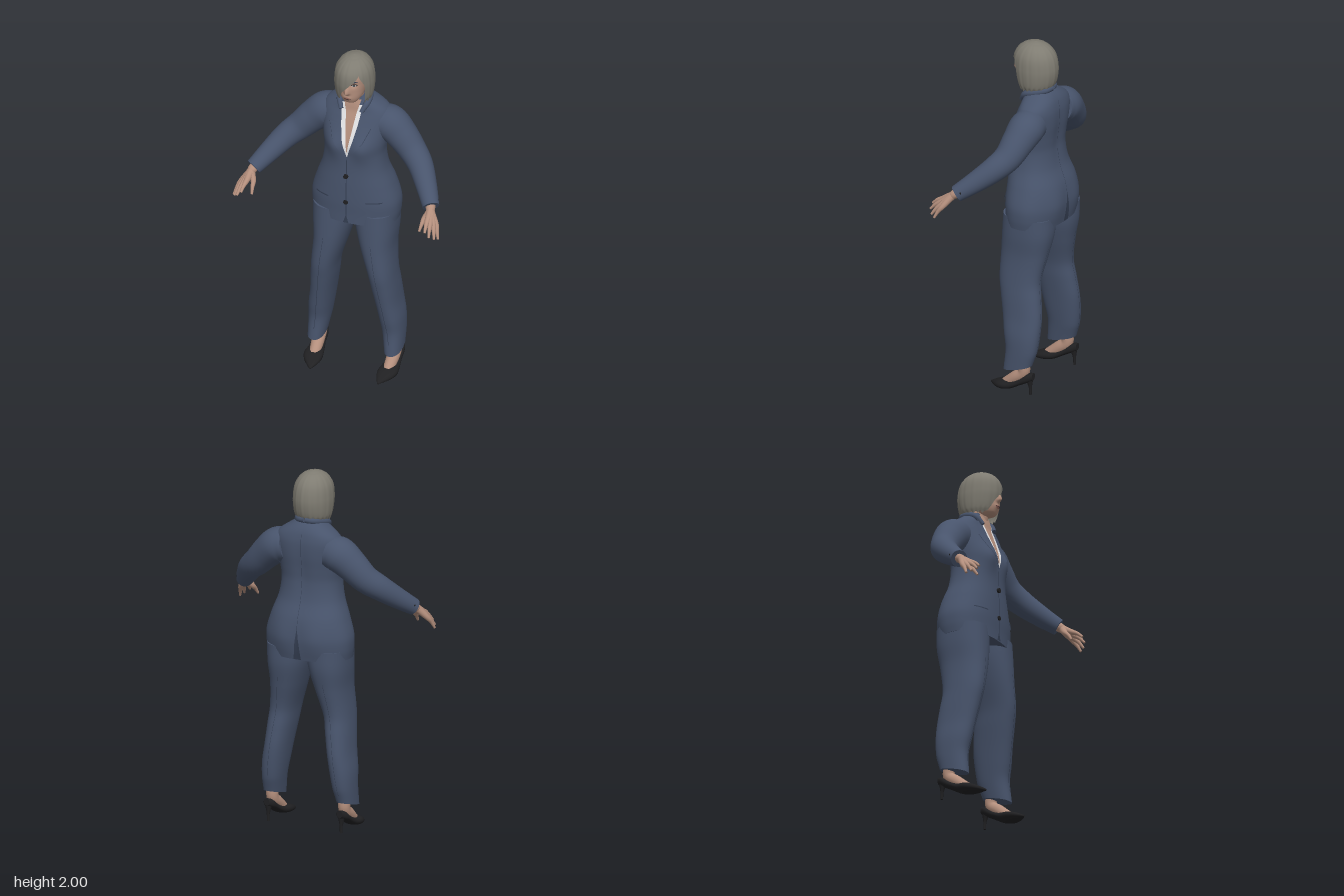
import * as THREE from 'three';

const V = (x, y, z) => new THREE.Vector3(x, y, z);
const mat = (name, color, side = THREE.FrontSide) => {
  const m = new THREE.MeshStandardMaterial({ color, side });
  m.name = name;
  return m;
};

// Value of a table at a key (first column), smooth or linear
function sample(rows, k, smooth = true) {
  const n = rows.length;
  let i = 0;
  while (i < n - 2 && k > rows[i + 1][0]) i++;
  const a = rows[i], b = rows[i + 1], h = b[0] - a[0], t = (k - a[0]) / h;
  const slope = (j, c) => {
    const p = rows[Math.max(j - 1, 0)], q = rows[Math.min(j + 1, n - 1)];
    return (q[c] - p[c]) / (q[0] - p[0]);
  };
  return a.map((v, c) => {
    if (!smooth) return v + (b[c] - v) * t;
    const t2 = t * t, t3 = t2 * t;
    return v * (2 * t3 - 3 * t2 + 1) + b[c] * (3 * t2 - 2 * t3)
      + h * (slope(i, c) * (t3 - 2 * t2 + t) + slope(i + 1, c) * (t3 - t2));
  });
}

// Skin over rings of points; closed rings get end caps
function loft(rings, closed = true) {
  const pos = [], idx = [], m = rings[0].length, n = rings.length;
  rings.forEach(r => r.forEach(p => pos.push(p.x, p.y, p.z)));
  for (let i = 0; i < n - 1; i++) {
    for (let j = 0; j < (closed ? m : m - 1); j++) {
      const k = (j + 1) % m, a = i * m + j, b = a + m, c = (i + 1) * m + k, d = i * m + k;
      idx.push(a, b, c, a, c, d);
    }
  }
  if (closed) [0, n - 1].forEach(e => {
    const s = pos.length / 3, mid = V(0, 0, 0);
    rings[e].forEach(p => { pos.push(p.x, p.y, p.z); mid.addScaledVector(p, 1 / m); });
    pos.push(mid.x, mid.y, mid.z);
    for (let j = 0; j < m; j++) {
      const k = (j + 1) % m;
      idx.push(s + m, ...(e ? [s + k, s + j] : [s + j, s + k]));
    }
  });
  const g = new THREE.BufferGeometry();
  g.setAttribute('position', new THREE.Float32BufferAttribute(pos, 3));
  g.setIndex(idx);
  g.computeVertexNormals();
  return g;
}

// Upright form from rows of [y, centre x, half width, front z, back z]
const POW = 2.3;
const sup = v => Math.sign(v) * Math.abs(v) ** (2 / POW);
function formPoint(form, y, row, u, s) {
  const [, cx, hw, zf, zb] = row, x = cx + hw * u, side = Math.sign(s) || 1;
  const bump = form.bump ? form.bump(x, y, side) : 0;
  const z = (zf + zb) / 2 + s * ((zf - zb) / 2 + bump);
  return V(x, y - (form.tilt ? form.tilt(y) * (z + 0.08) : 0), z);
}
function formGeo(form, steps, seg) {
  const { rows } = form, y0 = rows[0][0], y1 = rows[rows.length - 1][0], rings = [];
  for (let i = 0; i <= steps; i++) {
    const y = y0 + (y1 - y0) * i / steps, row = sample(rows, y);
    rings.push(Array.from({ length: seg }, (_, j) => {
      const a = j / seg * Math.PI * 2;
      return formPoint(form, y, row, sup(Math.cos(a)), sup(Math.sin(a)));
    }));
  }
  return loft(rings);
}

// Thin plate lying on a form, from rows of [y, x from, x to]
function patch(form, rows, off, side = 1, steps = 30, cols = 8) {
  const y0 = rows[0][0], y1 = rows[rows.length - 1][0], rings = [];
  for (let i = 0; i <= steps; i++) {
    const y = y0 + (y1 - y0) * i / steps, [, xa, xb] = sample(rows, y, false), row = sample(form.rows, y);
    rings.push(Array.from({ length: cols + 1 }, (_, j) => {
      const t = side > 0 ? 1 - j / cols : j / cols, u = (xa + (xb - xa) * t - row[1]) / row[2];
      const s = Math.max(0, 1 - Math.abs(u) ** POW) ** (1 / POW);
      const p = formPoint(form, y, row, u, side * s);
      p.z += side * off;
      return p;
    }));
  }
  return loft(rings, false);
}

// Tube through points of [x, y, z, radius]
function limb(points, seg = 16, ref = V(1, 0, 0), per = 6) {
  const rows = points.map((p, i) => [i, ...p]), rings = [], last = points.length - 1;
  const at = k => sample(rows, k);
  for (let i = 0; i <= last * per; i++) {
    const k = i / per, [, x, y, z, r] = at(k);
    const p = at(Math.max(0, k - 0.05)), q = at(Math.min(last, k + 0.05));
    const t = V(q[1] - p[1], q[2] - p[2], q[3] - p[3]).normalize();
    const u = ref.clone().addScaledVector(t, -ref.dot(t)).normalize(), v = u.clone().cross(t);
    rings.push(Array.from({ length: seg }, (_, j) => {
      const a = j / seg * Math.PI * 2;
      return V(x, y, z).addScaledVector(u, r * Math.cos(a)).addScaledVector(v, r * Math.sin(a));
    }));
  }
  return loft(rings);
}

function mirrored(geo) {
  const g = geo.clone().scale(-1, 1, 1), ix = g.index.array;
  for (let i = 0; i < ix.length; i += 3) [ix[i], ix[i + 1]] = [ix[i + 1], ix[i]];
  g.computeVertexNormals();
  return g;
}

const gauss = (d, w) => Math.exp(-((d / w) ** 2));

export function createModel() {
  const model = new THREE.Group();
  const suit = mat('suit navy', 0x48546c), seam = mat('seam navy', 0x353f53), skin = mat('skin', 0xb48f7d);
  const hairMat = mat('ash hair', 0x7f7c72, THREE.DoubleSide), white = mat('white', 0xe4e4e6);
  const black = mat('black', 0x202022), lipMat = mat('lips', 0x96685e);
  const add = (name, geo, m) => {
    const mesh = new THREE.Mesh(geo, m);
    mesh.name = name;
    model.add(mesh);
  };
  const pair = (name, geo, m) => {
    add(name + 'Left', geo, m);
    add(name + 'Right', mirrored(geo), m);
  };

  // Jacket body with bust and seat fullness
  const torso = {
    rows: [[0.975, 0, 0.24, 0.06, -0.245], [1.03, 0, 0.248, 0.06, -0.252], [1.1, 0, 0.247, 0.062, -0.255],
      [1.2, 0, 0.218, 0.06, -0.245], [1.3, 0, 0.183, 0.055, -0.213], [1.4, 0, 0.17, 0.052, -0.2],
      [1.47, 0, 0.178, 0.048, -0.204], [1.55, 0, 0.19, 0.026, -0.212], [1.62, 0, 0.195, 0, -0.212],
      [1.66, 0, 0.178, -0.015, -0.205], [1.69, 0, 0.14, -0.02, -0.195], [1.72, 0, 0.095, -0.026, -0.175],
      [1.745, 0, 0.068, -0.03, -0.15]],
    bump: (x, y, side) => side > 0
      ? 0.024 * gauss(Math.abs(x) - 0.085, 0.06) * gauss(y - 1.455, 0.075)
      : 0.014 * gauss(Math.abs(x) - 0.1, 0.08) * gauss(y - 1.09, 0.1) - 0.008 * gauss(x, 0.04) * gauss(y - 1.48, 0.16),
  };
  add('jacketBody', formGeo(torso, 60, 72), suit);
  pair('jacketCollar', limb([[0.058, 1.665, -0.005, 0.012], [0.078, 1.71, -0.04, 0.018], [0.075, 1.73, -0.09, 0.02],
    [0.045, 1.742, -0.142, 0.02], [0, 1.747, -0.157, 0.02]], 12, V(0, 1, 0)), suit);
  pair('sleeve', limb([[0.13, 1.575, -0.115, 0.092], [0.19, 1.562, -0.115, 0.098], [0.255, 1.51, -0.105, 0.088],
    [0.325, 1.44, -0.085, 0.077], [0.39, 1.385, -0.04, 0.069], [0.455, 1.315, 0.038, 0.058],
    [0.515, 1.248, 0.122, 0.046]], 28), suit);

  // Neckline: shirt, chest and lapels
  add('shirt', patch(torso, [[1.4, -0.001, 0.001], [1.5, -0.034, 0.034], [1.6, -0.054, 0.054], [1.7, -0.062, 0.062]], 0.004), white);
  add('chest', patch(torso, [[1.43, -0.001, 0.001], [1.55, -0.018, 0.018], [1.65, -0.03, 0.03], [1.73, -0.05, 0.05]], 0.006), skin);
  pair('lapel', patch(torso, [[1.39, 0, 0.004], [1.5, 0.03, 0.085], [1.58, 0.046, 0.118], [1.585, 0.047, 0.092],
    [1.6, 0.049, 0.11], [1.67, 0.058, 0.09], [1.71, 0.064, 0.082]], 0.009, 1, 64), suit);
  pair('lapelEdge', patch(torso, [[1.4, 0.004, 0.008], [1.5, 0.083, 0.088], [1.58, 0.116, 0.121]], 0.007), seam);

  // Jacket front edge, buttons, pockets, back seam and vent
  add('frontEdge', patch(torso, [[0.977, -0.02, 0.012], [1.02, -0.006, 0], [1.39, -0.003, 0.001]], 0.003), seam);
  for (const y of [1.11, 1.275]) {
    const button = new THREE.CylinderGeometry(0.013, 0.013, 0.012, 16).rotateX(Math.PI / 2);
    add('jacketButton', button.translate(-0.004, y, 0.062), black);
  }
  pair('pocketFlap', patch(torso, [[1.105, 0.115, 0.19], [1.14, 0.105, 0.195]], 0.005), suit);
  pair('pocketWelt', patch(torso, [[1.12, 0.11, 0.19], [1.127, 0.105, 0.193]], 0.007), seam);
  add('backSeam', patch(torso, [[1.15, -0.001, 0.001], [1.68, -0.001, 0.001]], 0.003, -1), seam);
  add('backVent', patch(torso, [[0.977, -0.022, 0.022], [1.06, -0.014, 0.014], [1.15, -0.001, 0.001]], 0.003, -1), seam);
  for (let i = 0; i < 3; i++) {
    const f = i * 0.016;
    pair('cuffButton', new THREE.SphereGeometry(0.008, 10, 8).translate(0.538 - f, 1.271 + f, 0.082 - f * 1.25), black);
  }

  // Trousers with a front crease
  const leg = {
    rows: [[0.145, 0.222, 0.049, 0.0, -0.17], [0.25, 0.214, 0.058, -0.01, -0.195], [0.34, 0.205, 0.064, 0.005, -0.206],
      [0.44, 0.19, 0.065, 0.022, -0.208], [0.55, 0.176, 0.07, 0.042, -0.196], [0.65, 0.163, 0.074, 0.058, -0.185],
      [0.8, 0.136, 0.092, 0.06, -0.212], [0.92, 0.124, 0.112, 0.056, -0.236], [1.03, 0.117, 0.121, 0.05, -0.24]],
    tilt: y => 0.28 * Math.max(0, 1 - (y - 0.145) / 0.1),
  };
  pair('trouserLeg', formGeo(leg, 50, 40), suit);
  pair('trouserCrease', patch(leg, [[0.2, 0.215, 0.218], [0.44, 0.186, 0.189], [0.85, 0.135, 0.137]], 0.003, 1, 30, 1), seam);
  pair('trouserBackCrease', patch(leg, [[0.2, 0.217, 0.219], [0.44, 0.19, 0.192], [0.85, 0.135, 0.137]], 0.002, -1, 30, 1), seam);

  // Feet and heeled shoes
  pair('foot', limb([[0.219, 0.22, -0.11, 0.035], [0.219, 0.13, -0.122, 0.033], [0.218, 0.085, -0.075, 0.035],
    [0.214, 0.03, -0.005, 0.03]]), skin);
  const shoeRows = [[-0.183, 0.222, 0.016, 0.09, 0.132], [-0.15, 0.222, 0.034, 0.07, 0.122], [-0.1, 0.221, 0.037, 0.042, 0.085],
    [-0.05, 0.219, 0.046, 0.014, 0.062], [0, 0.217, 0.054, 0.002, 0.055], [0.04, 0.211, 0.045, 0, 0.042],
    [0.08, 0.202, 0.02, 0, 0.022], [0.1, 0.197, 0.004, 0, 0.01]];
  const shoeRings = Array.from({ length: 29 }, (_, i) => {
    const [z, cx, hw, y0, y1] = sample(shoeRows, -0.183 + 0.283 * i / 28);
    return Array.from({ length: 24 }, (_, j) => {
      const a = j / 24 * Math.PI * 2;
      return V(cx + hw * sup(Math.cos(a)), Math.max(0, (y0 + y1) / 2 - (y1 - y0) / 2 * sup(Math.sin(a))), z);
    });
  });
  pair('shoe', loft(shoeRings), black);
  pair('heel', limb([[0.222, 0, -0.165, 0.007], [0.222, 0.045, -0.164, 0.009], [0.222, 0.095, -0.158, 0.022]], 12), black);

  // Hands: each digit runs from the wrist through its knuckle
  const digits = {
    index: [[0.525, 1.205, 0.2], [0.533, 1.165, 0.262]], middle: [[0.54, 1.195, 0.198], [0.557, 1.14, 0.262]],
    ring: [[0.555, 1.186, 0.189], [0.58, 1.122, 0.241]], little: [[0.566, 1.18, 0.177], [0.593, 1.112, 0.216]],
    thumb: [[0.497, 1.198, 0.172], [0.486, 1.14, 0.222]],
  };
  for (const [name, [k, tip]] of Object.entries(digits)) {
    const mid = k.map((v, i) => v + (tip[i] - v) * 0.55 + (i === 1 ? 0.006 : 0));
    pair(name + 'Finger', limb([[0.505, 1.262, 0.105, 0.026], [0.52, 1.236, 0.142, 0.023], [...k, 0.0155],
      [...mid, 0.0105], [...tip, 0.0065]], 12), skin);
  }

  // Neck and head with nose, chin and eye sockets
  add('neck', limb([[0, 1.64, -0.085, 0.058], [0, 1.7, -0.07, 0.05], [0, 1.79, -0.06, 0.05]], 28), skin);
  const head = {
    rows: [[1.735, 0, 0.026, 0.022, -0.03], [1.745, 0, 0.042, 0.038, -0.06], [1.775, 0, 0.061, 0.049, -0.1],
      [1.82, 0, 0.072, 0.053, -0.13], [1.86, 0, 0.078, 0.054, -0.15], [1.9, 0, 0.079, 0.052, -0.15],
      [1.94, 0, 0.07, 0.035, -0.13], [1.965, 0, 0.045, 0, -0.1]],
    bump: (x, y, side) => side < 0 ? 0
      : 0.027 * gauss(x, 0.013) * gauss(y - 1.817, y < 1.817 ? 0.012 : 0.034)
        + 0.006 * gauss(x, 0.024) * gauss(y - 1.778, 0.014) - 0.008 * gauss(Math.abs(x) - 0.035, 0.018) * gauss(y - 1.861, 0.014),
  };
  add('head', formGeo(head, 60, 96), skin);
  pair('eyeLine', patch(head, [[1.853, 0.033, 0.039], [1.862, 0.019, 0.053], [1.872, 0.03, 0.046]], 0.001), black);
  pair('eyeWhite', patch(head, [[1.854, 0.034, 0.038], [1.861, 0.022, 0.05], [1.867, 0.032, 0.042]], 0.002), white);
  pair('iris', patch(head, [[1.854, 0.034, 0.038], [1.861, 0.03, 0.042], [1.867, 0.033, 0.039]], 0.003), black);
  pair('eyebrow', patch(head, [[1.879, 0.02, 0.034], [1.885, 0.026, 0.056], [1.889, 0.04, 0.05]], 0.002), seam);
  add('lips', patch(head, [[1.767, -0.008, 0.008], [1.777, -0.023, 0.023], [1.786, -0.007, 0.007]], 0.002), lipMat);
  add('mouthLine', patch(head, [[1.7762, -0.021, 0.021], [1.7782, -0.022, 0.022]], 0.0035), black);

  // Bob hair: [y, half width, front z, back z, left edge angle, swept fringe angle]
  const hairRows = [[1.735, 0.09, 0.032, -0.15, 1.0, -0.75], [1.76, 0.1, 0.047, -0.17, 0.98, -0.52], [1.81, 0.107, 0.061, -0.184, 0.95, -0.28],
    [1.86, 0.108, 0.068, -0.187, 0.92, 0.1], [1.92, 0.1, 0.062, -0.176, 0.66, 0.62], [1.96, 0.08, 0.038, -0.152, 0.62, 0.62],
    [1.985, 0.052, 0.003, -0.118, 0.62, 0.62], [1.996, 0.024, -0.03, -0.085, 0.62, 0.62], [2, 0.001, -0.057, -0.059, 0.62, 0.62]];
  const hairRings = [];
  for (let i = 0; i <= 64; i++) {
    const y = 2 - 0.265 * (1 - i / 64) ** 1.6, [, hw, zf, zb, a0, a1] = sample(hairRows, y, y > 1.99 ? false : true);
    hairRings.push(Array.from({ length: 97 }, (_, j) => {
      const a = a0 + (a1 + Math.PI * 2 - a0) * j / 96;
      const strand = 1 + 0.008 * Math.sin(a * 17) + 0.005 * Math.sin(a * 31 + 1);
      const drop = Math.max(0, 1.77 - y) * 0.2 * Math.sin(a * 23);
      return V(hw * strand * Math.sin(a), y + drop, (zf + zb) / 2 + (zf - zb) / 2 * strand * Math.cos(a));
    }));
  }
  add('hair', loft(hairRings, false), hairMat);
  return model;
}
